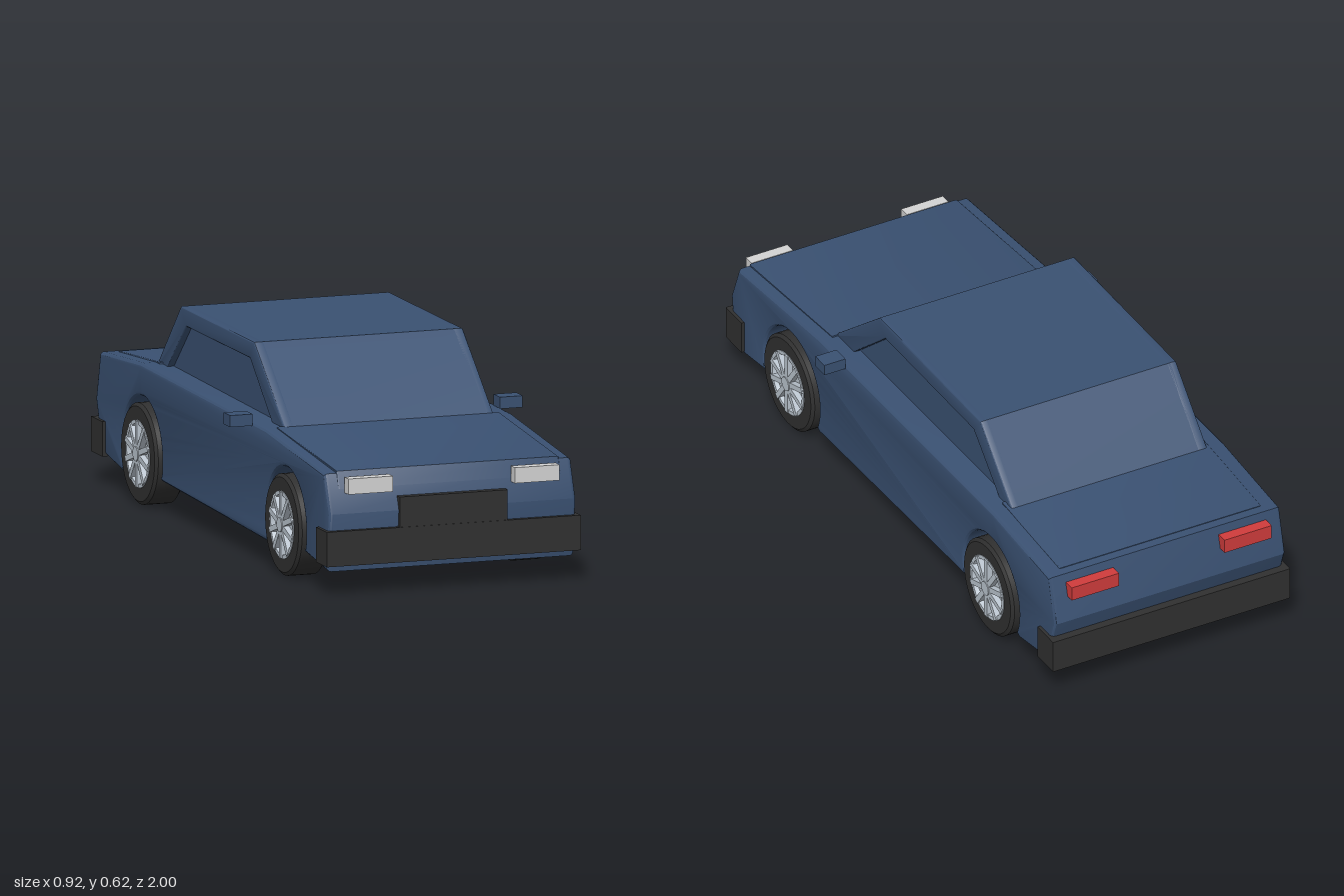
import * as THREE from 'three';
import { toCreasedNormals } from 'three/addons/utils/BufferGeometryUtils.js';

const paint = new THREE.MeshStandardMaterial({ name: 'blue paint', color: 0x3a5172 });
const rubber = new THREE.MeshStandardMaterial({ name: 'black rubber', color: 0x303030 });
const metal = new THREE.MeshStandardMaterial({ name: 'wheel metal', color: 0xbcc6d0 });
const lens = new THREE.MeshStandardMaterial({ name: 'headlight lens', color: 0xd4d4d4 });
const red = new THREE.MeshStandardMaterial({ name: 'tail light red', color: 0xd03c3c });

const AXLES = { front: 0.62, rear: -0.6 };
const WHEEL_Y = 0.152;

export function createModel() {
  const car = new THREE.Group();
  car.name = 'car';

  const add = (name, geometry, material, parent = car) => {
    const mesh = new THREE.Mesh(geometry, material);
    mesh.name = name;
    parent.add(mesh);
    return mesh;
  };

  // Box given by its limits on each axis
  const box = (name, material, [x0, x1], [y0, y1], [z0, z1]) => {
    const g = new THREE.BoxGeometry(x1 - x0, y1 - y0, z1 - z0);
    g.translate((x0 + x1) / 2, (y0 + y1) / 2, (z0 + z1) / 2);
    return add(name, g, material);
  };

  const outline = (points) => new THREE.Shape(points.map(([z, y]) => new THREE.Vector2(z, y)));

  // Side profile (z, y) extruded across the car from x0 to x1
  const slab = (shape, x0, x1, bevel) => {
    const g = new THREE.ExtrudeGeometry(shape, {
      depth: x1 - x0 - 2 * bevel, bevelEnabled: bevel > 0, bevelThickness: bevel,
      bevelSize: bevel, bevelOffset: -bevel, bevelSegments: 3, curveSegments: 28,
    });
    g.rotateY(-Math.PI / 2);
    g.translate(x1 - bevel, 0, 0);
    return toCreasedNormals(g, 0.5);
  };

  // Lower body with wheel arches cut right through
  const body = new THREE.Shape();
  body.moveTo(0.945, 0.36);
  body.lineTo(0.99, 0.245);
  body.lineTo(0.97, 0.07);
  body.lineTo(0.78, 0.095);
  body.absarc(AXLES.front, 0.155, 0.168, -0.36, Math.PI + 0.45, false);
  body.lineTo(0.45, 0.072);
  body.lineTo(-0.435, 0.095);
  body.absarc(AXLES.rear, 0.155, 0.168, -0.36, Math.PI + 0.45, false);
  body.lineTo(-0.77, 0.07);
  body.lineTo(-0.94, 0.097);
  body.lineTo(-0.993, 0.25);
  body.lineTo(-0.957, 0.395);
  body.lineTo(-0.61, 0.421);
  body.lineTo(0.45, 0.406);
  body.closePath();
  add('body', slab(body, -0.39, 0.39, 0.014), paint);

  // Bonnet and boot lids, just proud of the body
  add('bonnet', slab(outline([
    [0.44, 0.39], [0.44, 0.411], [0.945, 0.366], [0.964, 0.315], [0.93, 0.315], [0.9, 0.345],
  ]), -0.35, 0.35, 0.004), paint);
  add('bootLid', slab(outline([
    [-0.58, 0.4], [-0.58, 0.426], [-0.72, 0.416], [-0.93, 0.399], [-0.93, 0.385],
  ]), -0.34, 0.34, 0.004), paint);

  // Cabin core with the roof, windscreen and rear window slopes
  const cabin = [[0.47, 0.39], [0.45, 0.408], [0.19, 0.62], [-0.43, 0.62], [-0.625, 0.418], [-0.65, 0.39]];
  add('cabin', slab(outline(cabin), -0.31, 0.31, 0), paint);

  // Side window frames standing out around recessed panes
  for (const side of [1, -1]) {
    const frame = outline(cabin);
    frame.holes.push(new THREE.Path([
      [0.35, 0.4], [-0.56, 0.4], [-0.385, 0.566], [0.155, 0.566],
    ].map(([z, y]) => new THREE.Vector2(z, y))));
    const [x0, x1] = side > 0 ? [0.295, 0.33] : [-0.33, -0.295];
    add(side > 0 ? 'leftWindowFrame' : 'rightWindowFrame', slab(frame, x0, x1, 0.006), paint);
  }

  // Bumpers and grille
  box('frontBumper', rubber, [-0.4, 0.4], [0.09, 0.195], [0.905, 1]);
  box('rearBumper', rubber, [-0.4, 0.4], [0.09, 0.195], [-1, -0.905]);
  box('grille', rubber, [-0.17, 0.17], [0.19, 0.286], [0.95, 0.998]);

  // Lights and door mirrors
  for (const s of [1, -1]) {
    const label = s > 0 ? 'left' : 'right';
    const span = (a, b) => (s > 0 ? [a, b] : [-b, -a]);
    box(label + 'Headlight', lens, span(0.192, 0.332), [0.304, 0.351], [0.966, 1]);
    box(label + 'TailLight', red, span(0.178, 0.337), [0.325, 0.37], [-1, -0.965]);
    box(label + 'Mirror', paint, span(0.39, 0.461), [0.4, 0.435], [0.287, 0.342]);
  }

  // Wheel parts, built along x with the outer face towards +x
  const lathe = (points) => {
    const g = new THREE.LatheGeometry(points.map(([r, x]) => new THREE.Vector2(r, x)), 40);
    g.rotateZ(-Math.PI / 2);
    return toCreasedNormals(g, 0.6);
  };
  const tyreGeometry = lathe([
    [0.1, -0.048], [0.142, -0.048], [0.152, -0.04], [0.152, 0.04], [0.142, 0.048], [0.1, 0.048], [0.1, -0.048],
  ]);
  const rimGeometry = lathe([
    [0, -0.036], [0.102, -0.036], [0.102, 0.05], [0.09, 0.05], [0.088, 0.036], [0, 0.036],
  ]);
  const hubGeometry = new THREE.CylinderGeometry(0.022, 0.024, 0.026, 20).rotateZ(-Math.PI / 2);
  hubGeometry.translate(0.044, 0, 0);
  const spokeGeometry = new THREE.BoxGeometry(0.02, 0.085, 0.017).translate(0.044, 0.057, 0);

  for (const [end, z] of Object.entries(AXLES)) {
    for (const s of [1, -1]) {
      const wheel = new THREE.Group();
      wheel.name = end + (s > 0 ? 'Left' : 'Right') + 'Wheel';
      add('tyre', tyreGeometry, rubber, wheel);
      add('rim', rimGeometry, metal, wheel);
      add('hub', hubGeometry, metal, wheel);
      for (let i = 0; i < 10; i++) {
        add('spoke', spokeGeometry, metal, wheel).rotation.x = (i / 10) * Math.PI * 2;
      }
      wheel.position.set(s * 0.353, WHEEL_Y, z);
      if (s < 0) wheel.rotation.y = Math.PI;
      car.add(wheel);
    }
    // Axle joining the pair
    const axle = new THREE.CylinderGeometry(0.013, 0.013, 0.66, 16).rotateZ(Math.PI / 2);
    add(end + 'Axle', axle, metal).position.set(0, WHEEL_Y, z);
  }

  return car;
}
